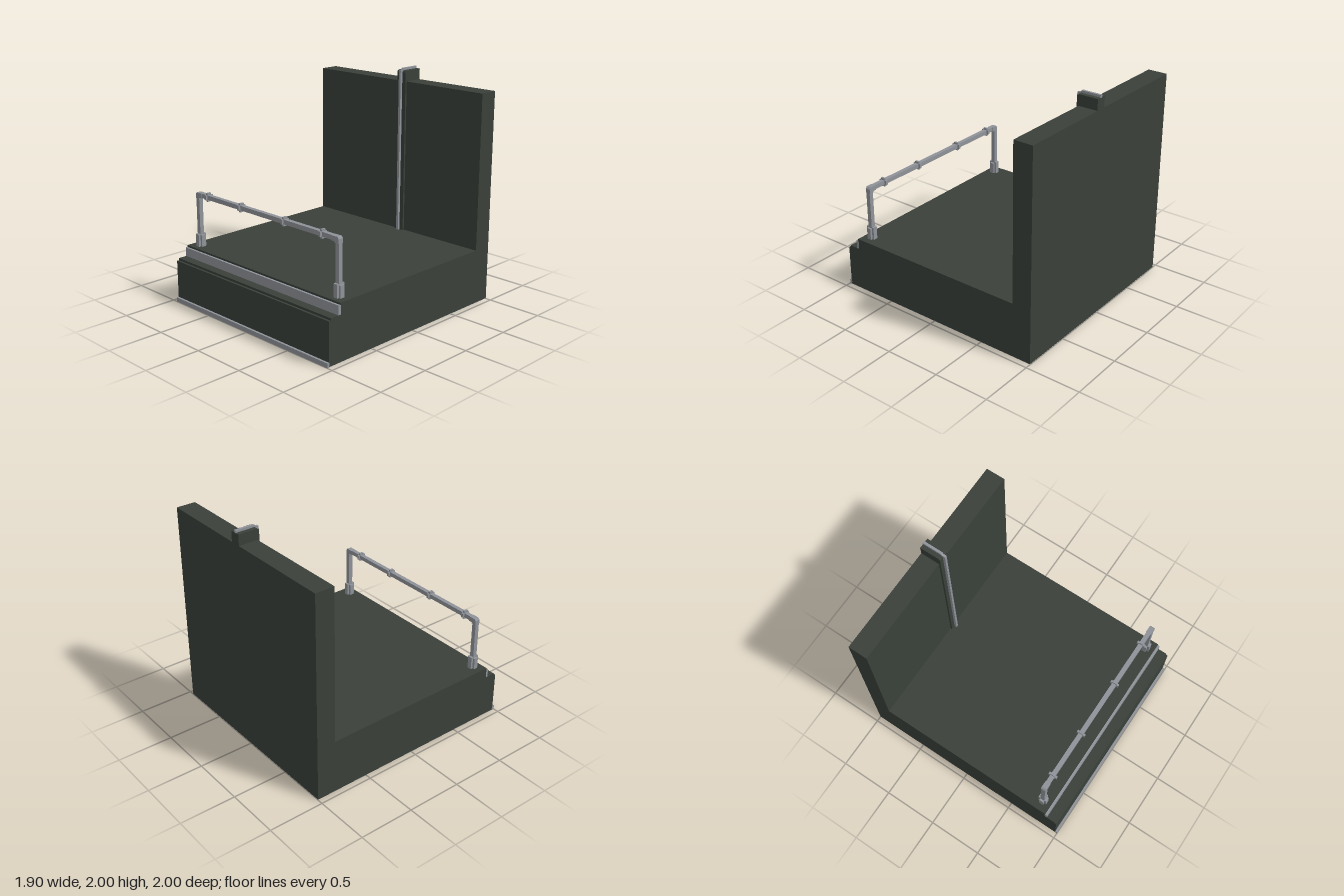
import * as THREE from 'three';

const mat = (name, color) => {
  const m = new THREE.MeshStandardMaterial({ color });
  m.name = name;
  return m;
};

export function createModel() {
  const root = new THREE.Group();
  root.name = 'platform';
  const concrete = mat('dark green concrete', 0x3a4039);
  const steel = mat('grey steel', 0x8f9399);
  const under = mat('underside pale grey', 0xd3d3d3);

  const add = (name, geo, material, parent = root) => {
    const m = new THREE.Mesh(geo, material);
    m.name = name;
    parent.add(m);
    return m;
  };
  // Box given by its minimum and maximum corners
  const box = (name, a, b, material) => {
    const g = new THREE.BoxGeometry(b[0] - a[0], b[1] - a[1], b[2] - a[2]);
    g.translate((a[0] + b[0]) / 2, (a[1] + b[1]) / 2, (a[2] + b[2]) / 2);
    return add(name, g, material);
  };
  const extrude = (pts, depth) => new THREE.ExtrudeGeometry(
    new THREE.Shape(pts.map(([x, y]) => new THREE.Vector2(x, y))),
    { depth, bevelEnabled: false });
  // Extrudes a [z, y] side profile from x0 to x1
  const sideProfile = (name, pts, x0, x1, material) => {
    const g = extrude(pts, x1 - x0);
    g.rotateY(-Math.PI / 2);
    g.translate(x1, 0, 0);
    return add(name, g, material);
  };

  // Stepped floor slab and back wall in one section
  sideProfile('floorAndWall', [
    [0.98, 0.004], [0.98, 0.38], [0.96, 0.38], [0.96, 0.4], [0.86, 0.4], [0.86, 0.497],
    [-0.825, 0.497], [-0.825, 1.883], [-1, 1.883], [-1, 0.004],
  ], -0.95, 0.95, concrete);
  box('underside', [-0.948, 0, -0.998], [0.948, 0.004, 0.978], under);

  // Steel edge strips along the front
  box('upperEdgeStrip', [-0.95, 0.4, 0.855], [0.95, 0.48, 0.88], steel);
  box('lowerEdgeStrip', [-0.95, 0, 0.975], [0.95, 0.04, 1], steel);

  // Wall rib with a chamfered top, and the steel track running over it
  sideProfile('wallRib', [
    [-0.808, 0.49], [-0.808, 1.965], [-0.823, 1.98], [-1, 1.98], [-1, 0.49],
  ], 0.018, 0.116, concrete);
  sideProfile('wallTrack', [
    [-0.785, 0.49], [-0.785, 1.98], [-0.815, 1.985], [-0.825, 2], [-1, 2],
    [-1, 1.975], [-0.83, 1.975], [-0.815, 1.96], [-0.815, 0.49],
  ], 0.056, 0.078, steel);

  // Handrail of square tube
  const rail = new THREE.Group();
  rail.name = 'handrail';
  rail.position.z = 0.78;
  root.add(rail);
  const postX = 0.855, railY = 0.97, h = 0.0195;

  // Cross-shaped fitting: two boxes crossing around an axis
  const cross = (name, x, y, sizeA, sizeB) => {
    const g = new THREE.Group();
    g.name = name;
    g.position.set(x, y, 0);
    for (const s of [sizeA, sizeB]) add(name + 'Plate', new THREE.BoxGeometry(...s), steel, g);
    rail.add(g);
  };

  // Posts, corners and top rail as one bent outline with chamfered outer corners
  const half = [
    [postX - h, 0.49], [postX + h, 0.49], [postX + h, railY], [postX, railY + h],
  ];
  const frame = [
    ...half,
    ...half.map(([x, y]) => [-x, y]).reverse(),
    [-postX + h, railY - h], [postX - h, railY - h],
  ];
  const tube = extrude(frame, 2 * h);
  tube.translate(0, 0, -h);
  add('railAndPosts', tube, steel, rail);

  for (const s of [-1, 1]) {
    // Slightly thicker elbow fitting over each corner
    const o = 0.004, c = h + o;
    const pts = [
      [postX - c, 0.935], [postX + c - o, 0.935], [postX + c - o, railY + 0.004],
      [postX + 0.006, railY + c - o], [0.8, railY + c - o], [0.8, railY - c], [postX - c, railY - c],
    ].map(([x, y]) => [s * x, y]);
    const elbow = extrude(pts, 2 * c);
    elbow.translate(0, 0, -c);
    add('elbow', elbow, steel, rail);
    cross('postSocket', s * postX, 0.547, [0.078, 0.11, 0.04], [0.04, 0.13, 0.08]);
  }
  for (const x of [-0.725, -0.29, 0.245, 0.68]) {
    cross('railClamp', x, railY, [0.02, 0.076, 0.04], [0.02, 0.04, 0.076]);
  }
  return root;
}
